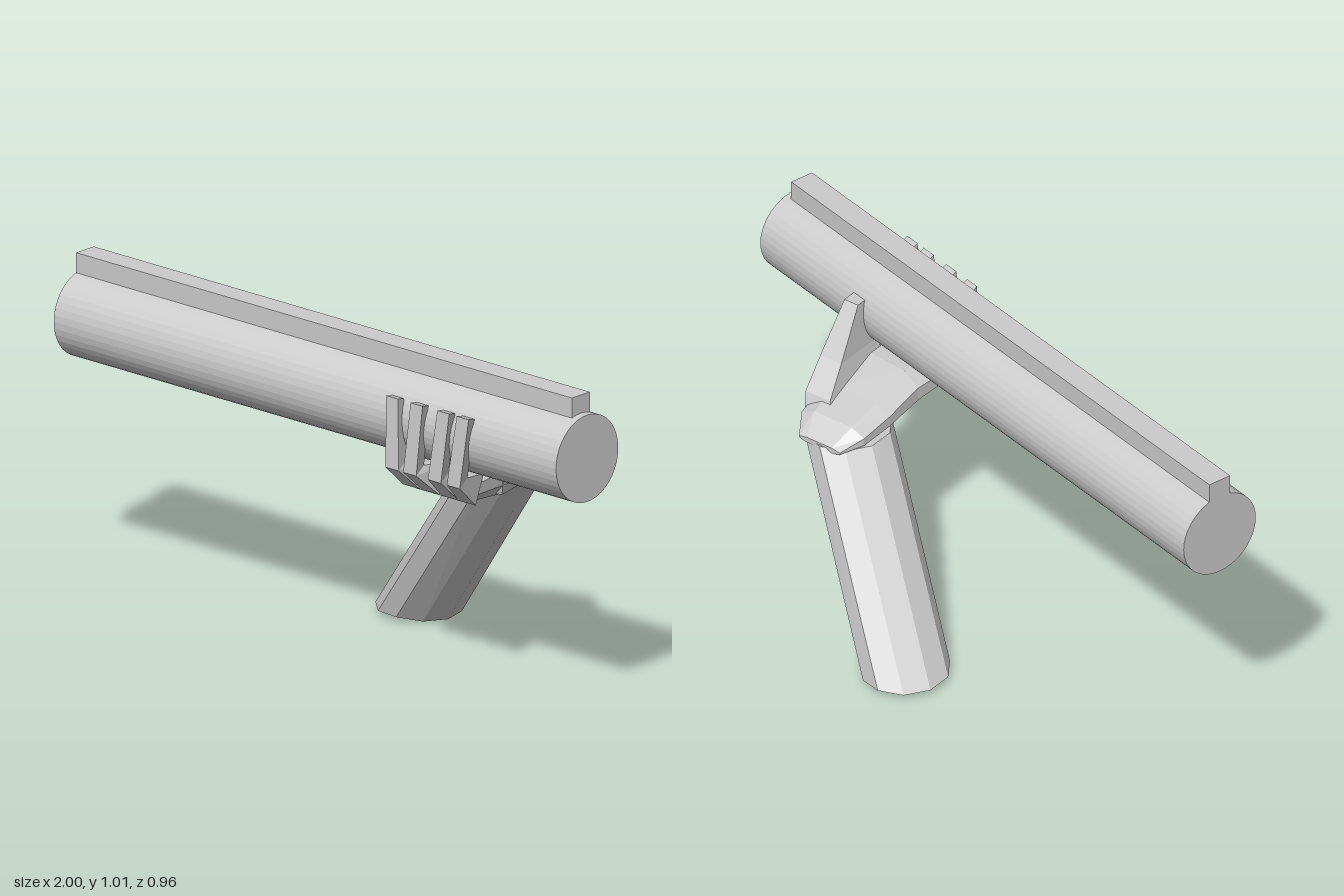
import * as THREE from 'three';

const material = new THREE.MeshStandardMaterial({ color: 0xcccccc, flatShading: true });
const BAR_Y = 0.815, BAR_Z = 0.0975, SLOPE = 0.2555; // bar axis runs forward towards +x
const barZ = (x) => BAR_Z + SLOPE * x;

// Closed solid through rings of [x, y, z] points, with flat end caps
function loft(rings) {
  const n = rings[0].length;
  const tris = [];
  for (let r = 0; r < rings.length - 1; r++) {
    for (let i = 0; i < n; i++) {
      const j = (i + 1) % n;
      const [a, b, c, d] = [rings[r][i], rings[r][j], rings[r + 1][j], rings[r + 1][i]];
      tris.push([a, b, c], [a, c, d]);
    }
  }
  const last = rings[rings.length - 1];
  for (let i = 1; i < n - 1; i++) {
    tris.push([rings[0][0], rings[0][i + 1], rings[0][i]], [last[0], last[i], last[i + 1]]);
  }
  // Turn the faces outwards if the rings were wound the other way
  let volume = 0;
  for (const [a, b, c] of tris) {
    volume += new THREE.Vector3(...a).dot(new THREE.Vector3(...b).cross(new THREE.Vector3(...c)));
  }
  if (volume < 0) tris.forEach((t) => t.reverse());
  const geometry = new THREE.BufferGeometry();
  geometry.setAttribute('position', new THREE.Float32BufferAttribute(tris.flat(2), 3));
  geometry.computeVertexNormals();
  return geometry;
}

function add(parent, name, geometry) {
  const mesh = new THREE.Mesh(geometry, material);
  mesh.name = name;
  parent.add(mesh);
  return mesh;
}

export function createModel() {
  const model = new THREE.Group();
  model.name = 'handHoldingBar';

  // Round bar with a square rail along its top
  const bar = new THREE.Group();
  bar.name = 'bar';
  bar.position.set(0, BAR_Y, BAR_Z);
  bar.rotation.y = -Math.atan(SLOPE);
  model.add(bar);
  add(bar, 'tube', new THREE.CylinderGeometry(0.134, 0.134, 2, 40).rotateZ(Math.PI / 2));
  add(bar, 'rail', new THREE.BoxGeometry(1.975, 0.09, 0.077).translate(-0.0125, 0.145, 0));

  // Forearm: level cut at both ends, sheared forwards and to the left
  const armRing = (x, y, z, dip) => Array.from({ length: 10 }, (_, i) => {
    const a = ((i + 0.5) / 10) * Math.PI * 2;
    return [x + 0.127 * Math.cos(a), y - dip * Math.max(0, Math.cos(a)), z + 0.138 * Math.sin(a)];
  });
  add(model, 'forearm', loft([armRing(0.035, 0.015, -0.345, 0.016), armRing(0.45, 0.565, -0.083, 0)]));

  // Palm: [z, x min, x max, y min, y max, skew to follow the bar]
  const palm = [
    [-0.215, 0.38, 0.53, 0.555, 0.572, 0],
    [-0.15, 0.34, 0.57, 0.55, 0.62, 0],
    [-0.04, 0.33, 0.58, 0.553, 0.65, 0],
    [0.1, 0.325, 0.585, 0.568, 0.69, 0.1],
    [0.27, 0.305, 0.58, 0.595, 0.69, 0.25],
  ].map(([z, x0, x1, y0, y1, skew]) => {
    const w = x1 - x0, h = y1 - y0;
    return [[0.15, 0], [0.85, 0], [1, 0.35], [1, 0.7], [0.8, 1], [0.2, 1], [0, 0.7], [0, 0.35]]
      .map(([u, v]) => [x0 + u * w, y0 + v * h, z + skew * (x0 + u * w - 0.44)]);
  });
  add(model, 'palm', loft(palm));

  // Thumb: wide at the palm, tapering up the back of the bar
  const thumb = [
    [0.58, 0.47, 0.575, -0.13, 0.14],
    [0.64, 0.5, 0.59, -0.105, 0.16],
    [0.72, 0.52, 0.597, -0.025, 0.15],
    [0.868, 0.535, 0.585, 0.075, 0.125],
  ].map(([y, x0, x1, z0, z1]) => [[x0, y, z0], [x1, y, z0], [x1, y, z1], [x0, y, z1]]);
  add(model, 'thumb', loft(thumb));

  // Four fingers curling up the front: [knuckle x, bend x, tip x]
  [[0.335, 0.322, 0.315], [0.41, 0.39, 0.41], [0.485, 0.485, 0.513], [0.55, 0.558, 0.588]]
    .forEach((xs, f) => {
      // Inner and outer edge of each section, measured from the bar axis
      const sections = [
        [0.02, 0.685, 0.07, 0.6, 0.033],
        [0.12, 0.7, 0.168, 0.68, 0.025],
        [0.122, 0.888, 0.158, 0.897, 0.023],
      ];
      const rings = sections.map(([zi, yi, zo, yo, half], s) => {
        const l = xs[s] - half, r = xs[s] + half;
        return [[l, yi, barZ(l) + zi], [r, yi, barZ(r) + zi], [r, yo, barZ(r) + zo], [l, yo, barZ(l) + zo]];
      });
      add(model, `finger${f + 1}`, loft(rings));
    });

  return model;
}
